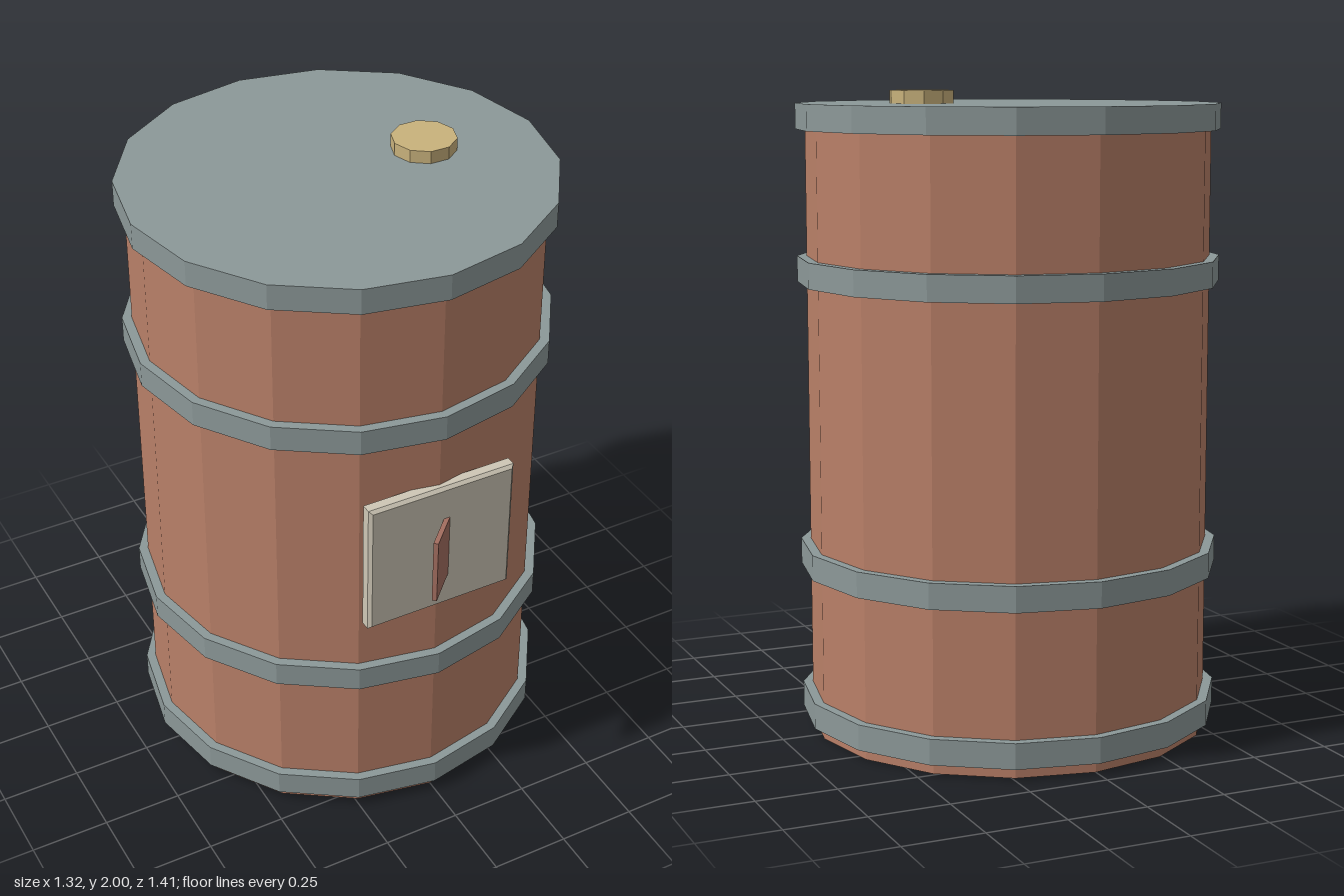
import * as THREE from 'three';

const BARREL_Z = -0.045;

function material(color) {
  return new THREE.MeshStandardMaterial({ color, flatShading: true });
}

function addPart(parent, name, geometry, mat, x, y, z) {
  const mesh = new THREE.Mesh(geometry, mat);
  mesh.name = name;
  mesh.position.set(x, y, z);
  parent.add(mesh);
  return mesh;
}

// Rectangle with a small chamfer on every edge, centred on the origin
function chamferedPlate(width, height, depth, bevel) {
  const w = width / 2 - bevel, h = height / 2 - bevel;
  const shape = new THREE.Shape([
    new THREE.Vector2(-w, -h), new THREE.Vector2(w, -h),
    new THREE.Vector2(w, h), new THREE.Vector2(-w, h),
  ]);
  const geometry = new THREE.ExtrudeGeometry(shape, {
    depth: depth - 2 * bevel, bevelEnabled: true,
    bevelThickness: bevel, bevelSize: bevel, bevelSegments: 1,
  });
  return geometry.center();
}

export function createModel() {
  const group = new THREE.Group();
  const rust = material(0xb98068);
  const steel = material(0x8c9898);
  const cream = material(0xcec7b6);
  const brass = material(0xc9b27c);
  const darkRust = material(0xa36e60);

  // Sixteen-sided drum body
  addPart(group, 'barrelBody', new THREE.CylinderGeometry(0.63, 0.63, 1.95, 16), rust, 0, 0.975, BARREL_Z);

  // Bottom rim, two hoops, and the lid closing the top
  const bands = [['bottomRim', 0.076], ['lowerHoop', 0.548], ['upperHoop', 1.448], ['lid', 1.92]];
  for (const [name, y] of bands) {
    addPart(group, name, new THREE.CylinderGeometry(0.66, 0.66, 0.08, 16), steel, 0, y, BARREL_Z);
  }

  // Ten-sided filler cap, with a corner pointing along x
  const cap = new THREE.CylinderGeometry(0.1, 0.1, 0.06, 10, 1, false, Math.PI / 2);
  addPart(group, 'fillerCap', cap, brass, 0.29, 1.97, BARREL_Z);

  // Front label plate
  addPart(group, 'labelPlate', chamferedPlate(0.49, 0.446, 0.05, 0.01), cream, 0, 1.002, 0.583);

  // Thin tab standing out of the plate at 45 degrees
  const tab = addPart(group, 'plateTab', new THREE.BoxGeometry(0.142, 0.217, 0.015), darkRust, -0.024, 1.003, 0.647);
  tab.rotation.y = Math.PI / 4;

  return group;
}
